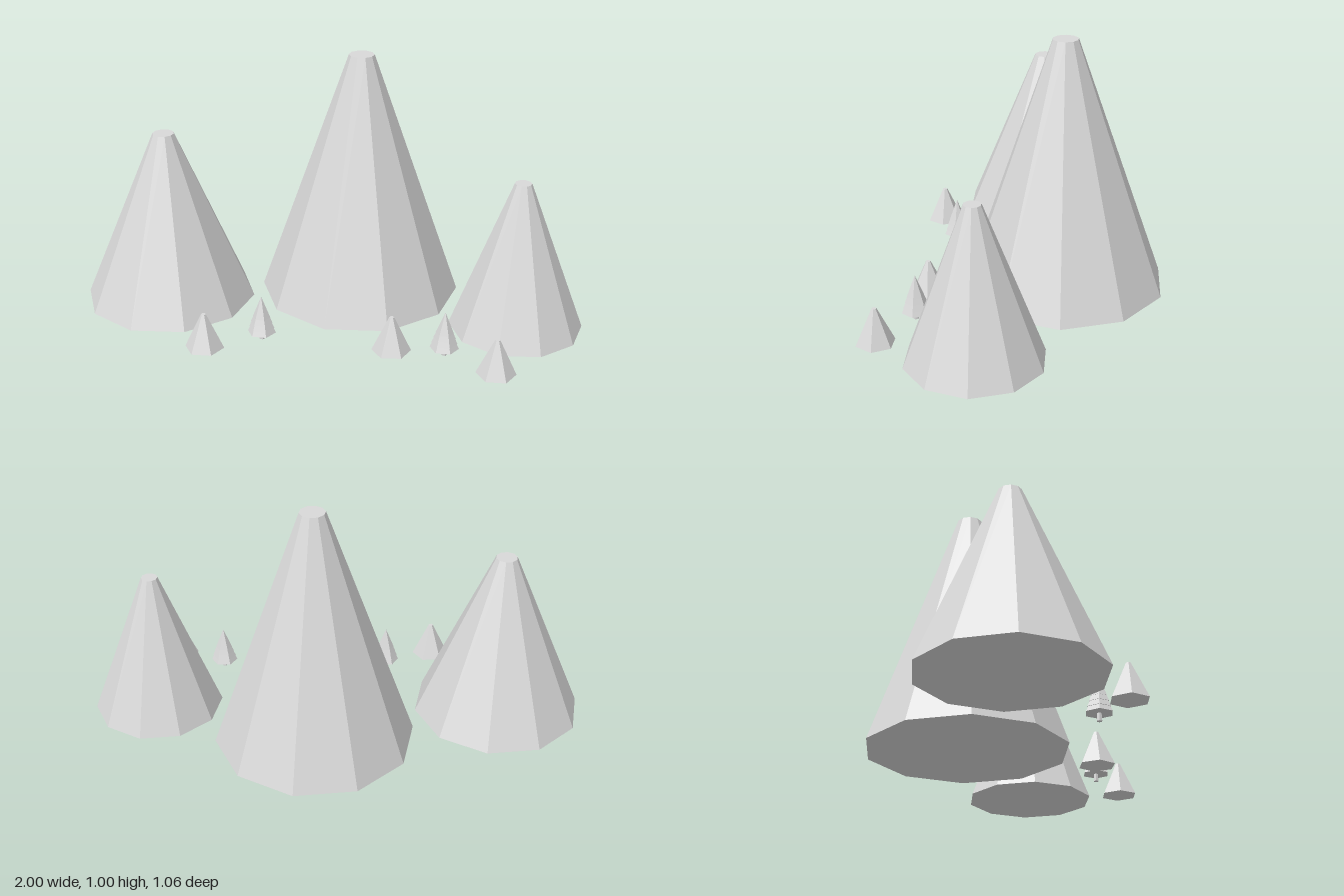
import * as THREE from 'three';

export function createModel() {
  const model = new THREE.Group();
  const stone = new THREE.MeshStandardMaterial({ color: 0xd8d8d8, flatShading: true });
  stone.name = 'lightGrey';

  // Faceted cone or frustum standing on height y
  function frustum(parent, name, rTop, rBottom, height, sides, turn, x, y, z) {
    const mesh = new THREE.Mesh(new THREE.CylinderGeometry(rTop, rBottom, height, sides), stone);
    mesh.name = name;
    mesh.position.set(x, y + height / 2, z);
    mesh.rotation.y = turn;
    parent.add(mesh);
  }

  // Three flat-topped mountains: name, x, z, radius, height
  const mountains = [
    ['leftPeak', 0.74, 0.082, 0.26, 0.6],
    ['middlePeak', 0.09, -0.138, 0.4, 1],
    ['rightPeak', -0.66, 0.062, 0.34, 0.7],
  ];
  for (const [name, x, z, r, h] of mountains) {
    frustum(model, name, r * 0.125, r, h, 10, 0.43, x, 0, z);
  }

  // Small six-sided foothills: x, z, turn
  for (const [x, z, turn] of [[-0.411, 0.462, 0.58], [0.289, 0.362, 0.66], [0.689, 0.462, 0.58]]) {
    frustum(model, 'foothill', 0.0094, 0.075, 0.14, 6, turn, x, 0, z);
  }

  // Pine trees: trunk and four closely stacked tiers of foliage (radius, base height)
  const tiers = [[0.055, 0.03], [0.049, 0.05], [0.042, 0.072], [0.034, 0.094]];
  for (const x of [-0.211, 0.489]) {
    const pine = new THREE.Group();
    pine.name = 'pineTree';
    pine.position.set(x, 0, 0.362);
    frustum(pine, 'trunk', 0.009, 0.011, 0.04, 6, Math.PI / 6, 0, 0, 0);
    tiers.forEach(([r, y], i) => {
      const tip = 0.15 + i * 0.01;
      frustum(pine, 'foliageTier', 0, r, tip - y, 6, Math.PI / 6, 0, y, 0);
    });
    model.add(pine);
  }
  return model;
}
